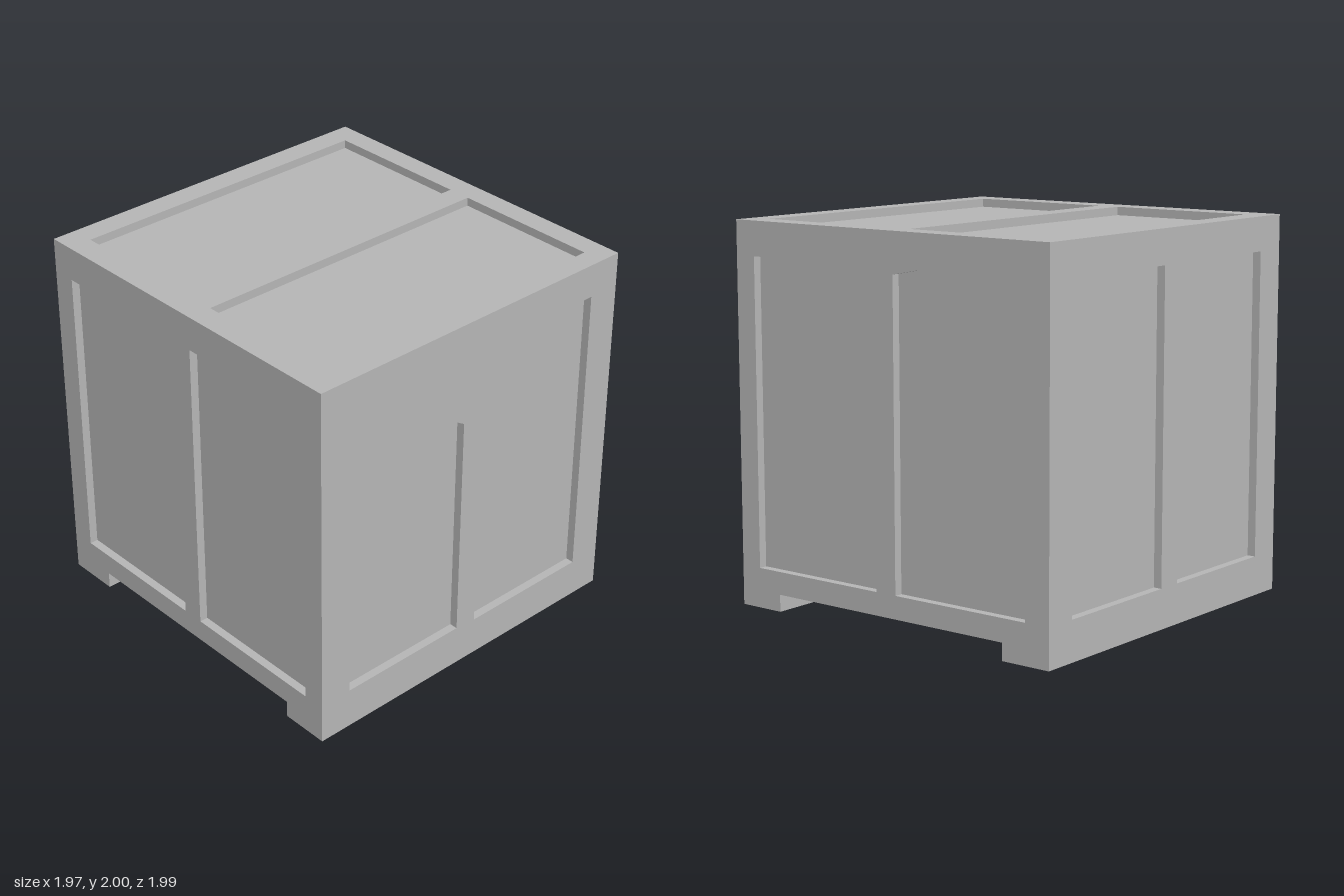
import * as THREE from 'three';

const grey = new THREE.MeshStandardMaterial({ color: 0xb4b4b4 });
grey.name = 'plain grey';

const DEPTH = 0.045;              // how far the panels sit below the frame
const X0 = -0.99, X1 = 0.98, Z0 = -1, Z1 = 0.99, TOP = 2, FLOOR = 0.09;

const rect = (a, b, c, d) => [[a, b], [c, b], [c, d], [a, d]];
const toPoints = (list) => list.map(([x, y]) => new THREE.Vector2(x, y));

// Frame plate with panel openings; local z = 0 is the inner side
function frame(name, outline, openings) {
  const shape = new THREE.Shape(toPoints(outline));
  openings.forEach((o) => shape.holes.push(new THREE.Path(toPoints(o))));
  const geo = new THREE.ExtrudeGeometry(shape, { depth: DEPTH, bevelEnabled: false });
  const mesh = new THREE.Mesh(geo, grey);
  mesh.name = name;
  return mesh;
}

function box(name, x0, y0, z0, x1, y1, z1) {
  const mesh = new THREE.Mesh(new THREE.BoxGeometry(x1 - x0, y1 - y0, z1 - z0), grey);
  mesh.name = name;
  mesh.position.set((x0 + x1) / 2, (y0 + y1) / 2, (z0 + z1) / 2);
  return mesh;
}

export function createModel() {
  const crate = new THREE.Group();
  crate.name = 'crate';

  // Core: its faces are the recessed panels and the underside
  crate.add(box('panelCore', X0 + DEPTH, FLOOR, Z0 + DEPTH, X1 - DEPTH, TOP - DEPTH, Z1 - DEPTH));

  // Front frame: one opening has a sloping top
  const front = frame('frontFrame', rect(X0, FLOOR, X1, TOP - DEPTH), [
    [[-0.81, 0.22], [-0.07, 0.22], [-0.07, 1.45], [-0.68, 1.82], [-0.81, 1.82]],
    rect(0.055, 0.21, 0.8, 1.82),
  ]);
  front.position.z = Z1 - DEPTH;

  // Back frame, drawn as seen from behind (local x = -x)
  const back = frame('backFrame', rect(-X1, FLOOR, -X0, TOP - DEPTH), [
    rect(-0.8, 0.21, -0.06, 1.82),
    rect(0.08, 0.21, 0.81, 1.82),
  ]);
  back.rotation.y = Math.PI;
  back.position.z = Z0 + DEPTH;

  // Side at +x, local x = -z
  const left = frame('leftFrame', rect(-Z1 + DEPTH, FLOOR, -Z0 - DEPTH, TOP - DEPTH), [
    rect(-0.87, 0.21, -0.07, 1.82),
    [[0.055, 0.21], [0.86, 0.21], [0.86, 1.82], [0.21, 1.82], [0.055, 1.79]],
  ]);
  left.rotation.y = Math.PI / 2;
  left.position.x = X1 - DEPTH;

  // Side at -x, local x = z
  const right = frame('rightFrame', rect(Z0 + DEPTH, FLOOR, Z1 - DEPTH, TOP - DEPTH), [
    rect(-0.87, 0.21, -0.06, 1.82),
    rect(0.06, 0.21, 0.87, 1.82),
  ]);
  right.rotation.y = -Math.PI / 2;
  right.position.x = X0 + DEPTH;

  // Top frame, local y = -z
  const top = frame('topFrame', rect(X0, -Z1, X1, -Z0), [
    rect(-0.86, 0.06, 0.86, 0.87),
    rect(-0.86, -0.875, 0.86, -0.065),
  ]);
  top.rotation.x = -Math.PI / 2;
  top.position.y = TOP - DEPTH;

  crate.add(front, back, left, right, top);

  // Runners along the front and back edges
  crate.add(box('frontRunner', X0, 0, 0.73, X1, FLOOR, Z1));
  crate.add(box('backRunner', X0, 0, Z0, X1, FLOOR, -0.72));
  return crate;
}
